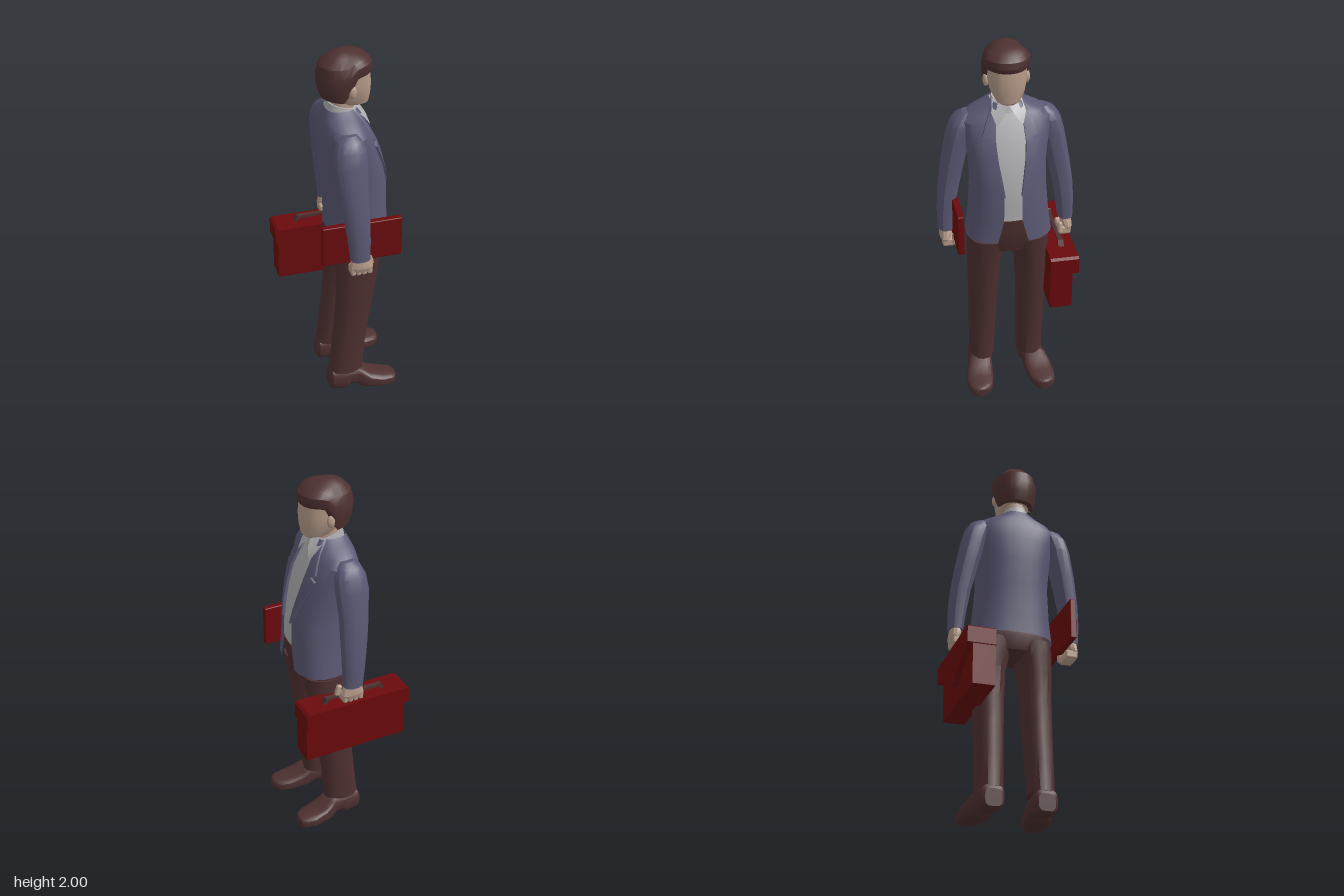
import * as THREE from 'three';
import { mergeVertices, toCreasedNormals } from 'three/addons/utils/BufferGeometryUtils.js';
import { RoundedBoxGeometry } from 'three/addons/geometries/RoundedBoxGeometry.js';

// The figure faces +x; z runs across the shoulders.
const mat = (name, color, side = THREE.FrontSide) => new THREE.MeshStandardMaterial({ name, color, side });

// Point on a superellipse between x0..x1 and z0..z1
const pw = (v, e) => Math.sign(v) * Math.pow(Math.abs(v), 2 / e);
const oval = (t, x0, x1, z0, z1, e) => [
  (x0 + x1) / 2 + ((x1 - x0) / 2) * pw(Math.cos(t), e),
  (z0 + z1) / 2 + ((z1 - z0) / 2) * pw(Math.sin(t), e),
];

// Skin a list of rings; closed rings are capped at both ends
function loft(rings, closed = true, crease = 0.5) {
  const n = rings[0].length, pos = rings.flat(2), idx = [];
  const last = closed ? n : n - 1;
  for (let i = 0; i < rings.length - 1; i++) {
    for (let j = 0; j < last; j++) {
      const k = (j + 1) % n;
      const a = i * n + j, b = i * n + k, c = a + n, d = b + n;
      idx.push(a, c, b, b, c, d);
    }
  }
  if (closed) {
    [0, rings.length - 1].forEach((r, end) => {
      const c = pos.length / 3;
      for (let q = 0; q < 3; q++) pos.push(rings[r].reduce((s, p) => s + p[q], 0) / n);
      for (let j = 0; j < n; j++) {
        const a = r * n + j, b = r * n + ((j + 1) % n);
        idx.push(c, end ? b : a, end ? a : b);
      }
    });
  }
  const g = new THREE.BufferGeometry();
  g.setAttribute('position', new THREE.Float32BufferAttribute(pos, 3));
  g.setIndex(idx);
  return toCreasedNormals(mergeVertices(g, 1e-5), crease);
}

// Horizontal sections: [y, x0, x1, z0, z1]
const column = (rows, n = 16, e = 2.4) => loft(rows.map(([y, x0, x1, z0, z1]) =>
  Array.from({ length: n }, (_, j) => {
    const [x, z] = oval((j / n) * Math.PI * 2, x0, x1, z0, z1, e);
    return [x, y, z];
  })));
const even = rows => rows.map(([y, x0, x1, h]) => [y, x0, x1, -h, h]);
const sided = (rows, s) => rows.map(([y, x0, x1, a, b]) => (s > 0 ? [y, x0, x1, a, b] : [y, x0, x1, -b, -a]));

// Jacket sections: y, back x, front x, half width, half opening
const JE = 2.5;
const JACKET = [
  [0.975, -0.065, 0.25, 0.225, 0.08], [1.1, -0.07, 0.245, 0.208, 0.048], [1.27, -0.085, 0.242, 0.195, 0.045],
  [1.4, -0.1, 0.215, 0.2, 0.07], [1.52, -0.105, 0.175, 0.22, 0.08], [1.6, -0.1, 0.135, 0.23, 0.075],
  [1.64, -0.092, 0.115, 0.19, 0.07], [1.67, -0.082, 0.1, 0.125, 0.065], [1.7, -0.07, 0.085, 0.08, 0.055],
];
function jacketAt(y) {
  let i = 0;
  while (i < JACKET.length - 2 && JACKET[i + 1][0] < y) i++;
  const a = JACKET[i], b = JACKET[i + 1], f = (y - a[0]) / (b[0] - a[0]);
  return a.map((v, k) => v + (b[k] - v) * f);
}
function jacketFront(y, z) {
  const [, x0, x1, h] = jacketAt(y);
  return (x0 + x1) / 2 + ((x1 - x0) / 2) * Math.pow(Math.max(0, 1 - Math.pow(Math.abs(z) / h, JE)), 1 / JE);
}

export function createModel() {
  const model = new THREE.Group();
  const brown = mat('dark brown', 0x4e3030);
  const jacket = mat('slate blue', 0x5a5873, THREE.DoubleSide);
  const shirt = mat('light grey', 0xacacae, THREE.DoubleSide);
  const skin = mat('skin', 0xb69b8a);
  const red = mat('dark red', 0x6a0a0c);
  const add = (name, geo, m, p = [0, 0, 0]) => {
    const mesh = new THREE.Mesh(geo, m);
    mesh.name = name;
    mesh.position.set(...p);
    model.add(mesh);
    return mesh;
  };

  // Head and neck
  add('neck', column(even([[1.62, -0.05, 0.075, 0.06], [1.77, -0.045, 0.085, 0.06]])), skin);
  add('head', column(even([
    [1.708, 0.03, 0.14, 0.04], [1.722, 0, 0.153, 0.062], [1.77, -0.05, 0.16, 0.087],
    [1.83, -0.08, 0.163, 0.099], [1.93, -0.08, 0.152, 0.1],
  ]), 20, 2.6), skin);

  // Hair: low at the nape, high over the brow
  const hairBase = x => 1.755 + 0.13 * THREE.MathUtils.smoothstep(x, 0.005, 0.085);
  add('hair', loft([
    [0, -0.075, 0.155, 0.1], [0.03, -0.09, 0.163, 0.106], [0.25, -0.108, 0.172, 0.117], [0.52, -0.113, 0.166, 0.12],
    [0.75, -0.1, 0.14, 0.105], [0.92, -0.06, 0.1, 0.068], [1, -0.015, 0.06, 0.025],
  ].map(([v, x0, x1, h]) => Array.from({ length: 24 }, (_, j) => {
    const [x, z] = oval((j / 24) * Math.PI * 2, x0, x1, -h, h, 2.2);
    const b = hairBase(x);
    return [x, b + (2 - b) * v, z];
  }))), brown);

  // Shirt body and collar band
  add('shirt', column(even([1.08, 1.18, 1.27, 1.4, 1.52, 1.6, 1.64, 1.67, 1.69].map(y => {
    const [, x0, x1, h] = jacketAt(y);
    return [y, x0 + 0.014, x1 - 0.014, h - 0.014];
  })), 24, JE), shirt);
  add('collarBand', loft([[1.65, 1.65, -0.075, 0.105, 0.085], [1.735, 1.69, -0.06, 0.092, 0.07]].map(
    ([yb, yf, x0, x1, h]) => Array.from({ length: 20 }, (_, j) => {
      const t = (j / 20) * Math.PI * 2, [x, z] = oval(t, x0, x1, -h, h, 2.1);
      return [x, yb + (yf - yb) * (0.5 + 0.5 * Math.cos(t)), z];
    }))), shirt);

  // Open jacket shell
  add('jacket', loft(JACKET.map(([y, x0, x1, h, w]) => {
    const t0 = Math.asin(Math.pow(w / h, JE / 2));
    return Array.from({ length: 27 }, (_, j) => {
      const [x, z] = oval(t0 + (j / 26) * (Math.PI * 2 - 2 * t0), x0, x1, -h, h, JE);
      return [x, y, z];
    });
  }), false), jacket);

  // Trouser seat
  add('trouserSeat', column(even([
    [0.855, 0.01, 0.14, 0.07], [0.885, -0.04, 0.19, 0.14], [0.95, -0.06, 0.212, 0.205],
    [1.02, -0.055, 0.228, 0.205], [1.095, -0.055, 0.237, 0.198],
  ]), 24, 2.5), brown);

  for (const s of [1, -1]) {
    const side = s > 0 ? 'left' : 'right';
    // Sideways details of the head
    add(side + 'Ear', new THREE.SphereGeometry(1, 10, 8).scale(0.022, 0.036, 0.016), skin, [0.045, 1.815, s * 0.103]);

    // Collar point
    add(side + 'CollarPoint', loft([
      [[0.108, 1.695, s * 0.004], [0.05, 1.712, s * 0.074]],
      [[0.135, 1.655, s * 0.025], [0.112, 1.66, s * 0.088]],
      [[0.15, 1.605, s * 0.062], [0.148, 1.605, s * 0.068]],
    ], false), shirt);

    // Lapel with notch, lying just over the jacket: y, outer z
    const lapel = [[1.25, 0.047], [1.34, 0.085], [1.43, 0.12], [1.52, 0.15], [1.535, 0.118], [1.55, 0.14], [1.61, 0.12], [1.67, 0.09], [1.7, 0.07]];
    add(side + 'Lapel', loft(lapel.map(([y, zo]) => {
      const zi = jacketAt(y)[4] - 0.004;
      return [0, 0, 0.33, 0.67, 1, 1].map((f, k) => {
        const z = zi + (zo - zi) * f;
        return [jacketFront(y, z) + (k === 0 || k === 5 ? -0.004 : 0.012), y, s * z];
      });
    }), false), jacket);

    // Sleeve
    add(side + 'Sleeve', column(sided([
      [0.975, -0.025, 0.08, 0.28, 0.36], [1.08, -0.037, 0.082, 0.268, 0.362], [1.2, -0.052, 0.082, 0.248, 0.355],
      [1.35, -0.072, 0.078, 0.213, 0.333], [1.5, -0.087, 0.085, 0.175, 0.305], [1.57, -0.08, 0.082, 0.155, 0.285],
      [1.61, -0.062, 0.065, 0.145, 0.258], [1.635, -0.03, 0.04, 0.155, 0.22],
    ], s), 14, 2.3), jacket);

    // Fist: wrist, palm, curled fingers and thumb
    add(side + 'Palm', column(sided([
      [0.905, -0.02, 0.085, 0.308, 0.345], [0.93, -0.03, 0.095, 0.298, 0.355], [0.96, -0.025, 0.085, 0.29, 0.352], [1.0, -0.01, 0.065, 0.295, 0.348],
    ], s), 12), skin);
    for (let i = 0; i < 4; i++) {
      add(side + 'Finger', new RoundedBoxGeometry(0.027, 0.046, 0.068, 2, 0.011), skin,
        [-0.012 + i * 0.029, 0.905 + Math.abs(i - 1.5) * 0.002, s * 0.31]);
    }
    add(side + 'Thumb', new RoundedBoxGeometry(0.03, 0.065, 0.026, 2, 0.012), skin, [0.092, 0.935, s * 0.282]).rotation.z = 0.25;

    // Trouser leg
    add(side + 'TrouserLeg', column(sided([
      [0.115, -0.09, 0.1, 0.068, 0.203], [0.3, -0.07, 0.112, 0.062, 0.205], [0.45, -0.055, 0.132, 0.056, 0.207],
      [0.6, -0.045, 0.157, 0.05, 0.21], [0.78, -0.048, 0.183, 0.04, 0.214], [0.86, -0.055, 0.196, 0.022, 0.215], [0.95, -0.058, 0.21, 0, 0.212],
    ], s), 16, 2.3), brown);

    // Shoe, heel to toe: x, half width, bottom y, top y, centre z
    add(side + 'Shoe', loft([
      [-0.094, 0.045, 0.008, 0.1, 0.138], [-0.08, 0.06, 0, 0.125, 0.139], [0.005, 0.066, 0, 0.13, 0.145],
      [0.015, 0.062, 0.024, 0.13, 0.146], [0.06, 0.062, 0.022, 0.13, 0.15], [0.085, 0.068, 0, 0.125, 0.155],
      [0.13, 0.073, 0, 0.095, 0.164], [0.2, 0.073, 0, 0.072, 0.172], [0.25, 0.062, 0, 0.067, 0.176], [0.274, 0.043, 0, 0.06, 0.178], [0.283, 0.022, 0.004, 0.05, 0.178],
    ].map(([x, w, b, top, zc]) => Array.from({ length: 16 }, (_, j) => {
      const [z, y] = oval((j / 16) * Math.PI * 2, s * zc - w, s * zc + w, b, top, 3.2);
      return [x, y, z];
    }))), brown);
  }

  // Briefcase: body, lid and pointed flap
  add('briefcaseBody', new THREE.BoxGeometry(0.57, 0.25, 0.118), red, [0, 0.685, -0.25]);
  const lid = new THREE.Shape([[-0.295, 0.775], [0.295, 0.775], [0.295, 0.86], [0.28, 0.87], [-0.28, 0.87], [-0.295, 0.86]]
    .map(p => new THREE.Vector2(...p)));
  add('briefcaseLid', new THREE.ExtrudeGeometry(lid, { depth: 0.15, bevelEnabled: false }), red, [0, 0, -0.34]);
  const flap = new THREE.Shape([[-0.29, 0.78], [-0.06, 0.69], [-0.035, 0.66], [0, 0.65], [0.035, 0.66], [0.06, 0.69], [0.29, 0.78]]
    .map(p => new THREE.Vector2(...p)));
  add('briefcaseFlap', new THREE.ExtrudeGeometry(flap, { depth: 0.03, bevelEnabled: false }), red, [0, 0, -0.337]);

  // Briefcase handle
  add('handleBar', new THREE.BoxGeometry(0.3, 0.014, 0.024), brown, [0, 0.892, -0.27]);
  for (const s of [1, -1]) {
    add('handlePost', new THREE.BoxGeometry(0.02, 0.04, 0.03), brown, [s * 0.16, 0.88, -0.27]).rotation.z = s * 0.5;
  }

  // Folder held under the arm
  add('folder', new RoundedBoxGeometry(0.42, 0.225, 0.034, 1, 0.005), red, [0.05, 1.052, 0.272]);
  return model;
}
